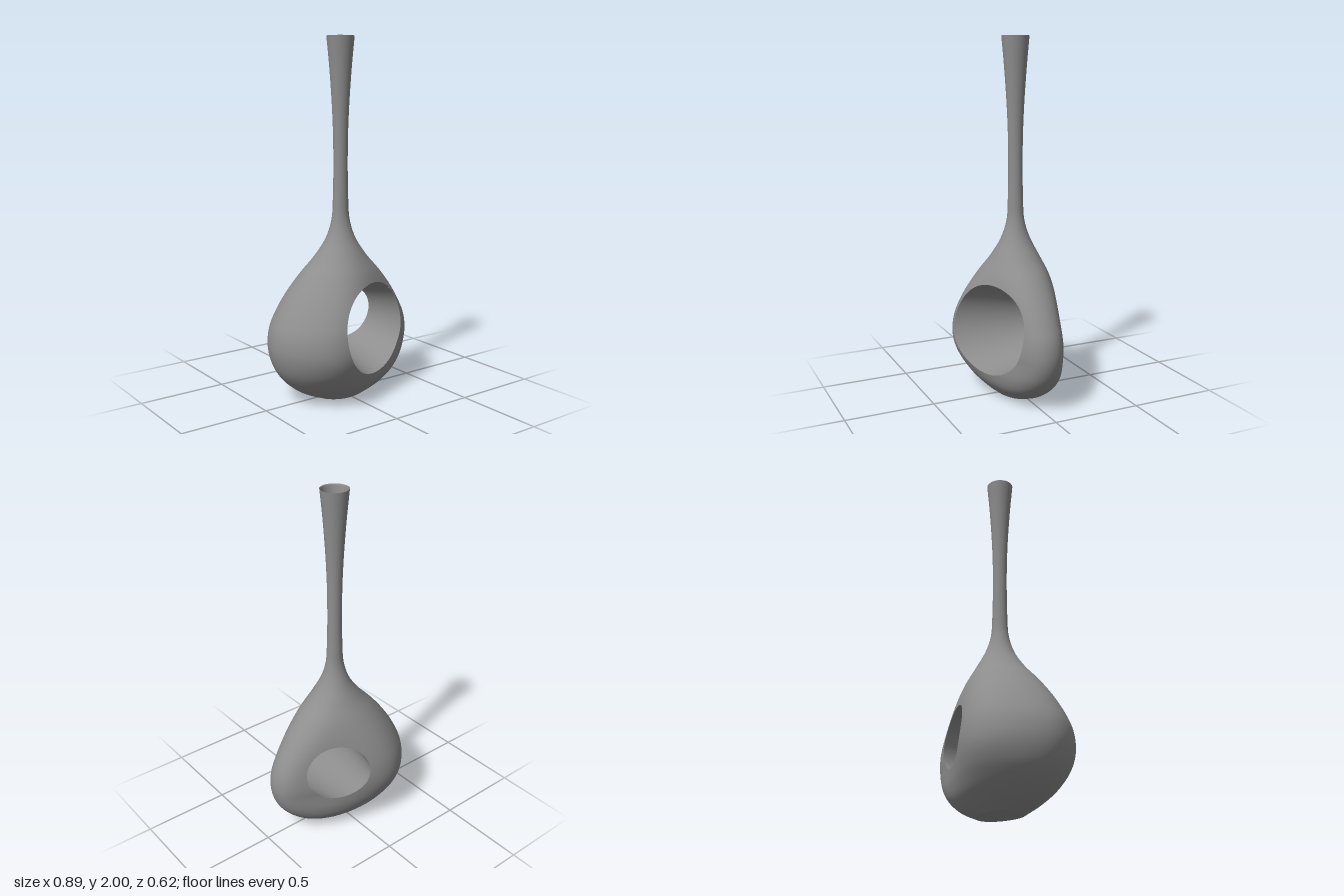
import * as THREE from 'three';
import { mergeVertices } from 'three/addons/utils/BufferGeometryUtils.js';

const TAU = Math.PI * 2;
const material = new THREE.MeshStandardMaterial({ color: 0x8e8e8e });
const floorMaterial = new THREE.MeshStandardMaterial({ color: 0xdddddd });

// Outer profile: [half width, height, half depth]
const profile = new THREE.CatmullRomCurve3([
  [0.155, 0, 0.112], [0.258, 0.045, 0.168], [0.336, 0.1, 0.223], [0.383, 0.15, 0.257],
  [0.414, 0.2, 0.283], [0.436, 0.265, 0.304], [0.443, 0.33, 0.312], [0.431, 0.41, 0.306],
  [0.389, 0.5, 0.284], [0.324, 0.6, 0.246], [0.243, 0.7, 0.195], [0.15, 0.8, 0.133],
  [0.083, 0.9, 0.08], [0.052, 1, 0.049], [0.043, 1.12, 0.042], [0.04, 1.4, 0.04],
  [0.046, 1.6, 0.046], [0.06, 1.82, 0.06], [0.077, 2, 0.075],
].map(p => new THREE.Vector3(...p)));

// Egg-shaped plan at the belly, rounder towards the neck and the foot
function planFactor(u, y) {
  const egg = 1.025 * (0.87 - 0.55 * u + 0.43 * u ** 3 - 0.04 * u * u);
  const roundness = THREE.MathUtils.smoothstep(y, 0.4, 0.9)
    + 0.8 * (1 - THREE.MathUtils.smoothstep(y, 0, 0.3));
  return THREE.MathUtils.lerp(egg, 1, roundness);
}

function surfacePoint(section, angle) {
  const u = Math.cos(angle);
  return new THREE.Vector3(section.x * u, section.y,
    section.z * Math.sin(angle) * planFactor(u, section.y));
}

// Half depth of the body at (x, y)
function depthAt(x, y) {
  let lo = 0, hi = 1;
  for (let i = 0; i < 30; i++) {
    const mid = (lo + hi) / 2;
    if (profile.getPoint(mid).y < y) lo = mid; else hi = mid;
  }
  const s = profile.getPoint(lo), u = x / s.x;
  return s.z * Math.sqrt(Math.max(0, 1 - u * u)) * planFactor(u, y);
}

// Openings of the tunnel: large in front, small behind
const frontHole = { x: 0.085, y: 0.41, rx: 0.26, ry: 0.25, side: 1 };
const backHole = { x: 0.138, y: 0.412, rx: 0.17, ry: 0.168, side: -1 };

function outsideHole(p) {
  const h = p.z > 0 ? frontHole : backHole;
  return Math.hypot((p.x - h.x) / h.rx, (p.y - h.y) / h.ry) - 1;
}

function rimPoint(h, angle) {
  const x = h.x + h.rx * Math.cos(angle), y = h.y + h.ry * Math.sin(angle);
  return new THREE.Vector3(x, y, h.side * depthAt(x, y));
}

function smoothGeometry(points) {
  const geometry = mergeVertices(new THREE.BufferGeometry().setFromPoints(points), 1e-5);
  geometry.computeVertexNormals();
  return geometry;
}

// Keep the part of a triangle that lies outside the openings
function clipTriangle(triangle, out) {
  const kept = [];
  triangle.forEach((p, i) => {
    const q = triangle[(i + 1) % 3], hp = outsideHole(p), hq = outsideHole(q);
    if (hp >= 0) kept.push(p);
    if (hp * hq < 0) kept.push(p.clone().lerp(q, hp / (hp - hq)));
  });
  for (let i = 2; i < kept.length; i++) out.push(kept[0], kept[i - 1], kept[i]);
}

function bodyGeometry(rows = 180, cols = 144) {
  const grid = [];
  for (let j = 0; j <= rows; j++) {
    const section = profile.getPoint(j / rows);
    grid.push(Array.from({ length: cols }, (_, i) => surfacePoint(section, i / cols * TAU)));
  }
  const out = [];
  for (let j = 0; j < rows; j++) {
    for (let i = 0; i < cols; i++) {
      const k = (i + 1) % cols;
      clipTriangle([grid[j][i], grid[j + 1][i], grid[j][k]], out);
      clipTriangle([grid[j][k], grid[j + 1][i], grid[j + 1][k]], out);
    }
  }
  return smoothGeometry(out);
}

function tunnelGeometry(rows = 12, cols = 128) {
  const rims = Array.from({ length: cols }, (_, i) =>
    [frontHole, backHole].map(h => rimPoint(h, i / cols * TAU)));
  const at = (j, i) => rims[i % cols][0].clone().lerp(rims[i % cols][1], j / rows);
  const out = [];
  for (let j = 0; j < rows; j++) {
    for (let i = 0; i < cols; i++) {
      const a = at(j, i), b = at(j, i + 1), c = at(j + 1, i), d = at(j + 1, i + 1);
      out.push(a, b, c, b, d, c);
    }
  }
  return smoothGeometry(out);
}

function baseGeometry(cols = 96) {
  const section = profile.getPoint(0);
  const shape = new THREE.Shape(Array.from({ length: cols }, (_, i) => {
    const p = surfacePoint(section, i / cols * TAU);
    return new THREE.Vector2(p.x, p.z);
  }));
  return new THREE.ShapeGeometry(shape).rotateX(Math.PI / 2);
}

export function createModel() {
  const group = new THREE.Group();
  group.name = 'vase';
  const add = (name, geometry, mat = material) => {
    const mesh = new THREE.Mesh(geometry, mat);
    mesh.name = name;
    group.add(mesh);
    return mesh;
  };

  add('bodyAndNeck', bodyGeometry());
  add('tunnel', tunnelGeometry());
  add('base', baseGeometry());

  // Flared mouth with a shallow bore
  const bore = [[0.077, 2], [0.071, 1.992], [0.064, 1.93], [0.054, 1.82], [0.046, 1.72]];
  add('mouthBore', new THREE.LatheGeometry(bore.map(p => new THREE.Vector2(...p)), 64));
  const floor = new THREE.CircleGeometry(0.046, 64).rotateX(-Math.PI / 2);
  add('boreFloor', floor, floorMaterial).position.y = 1.72;

  return group;
}
